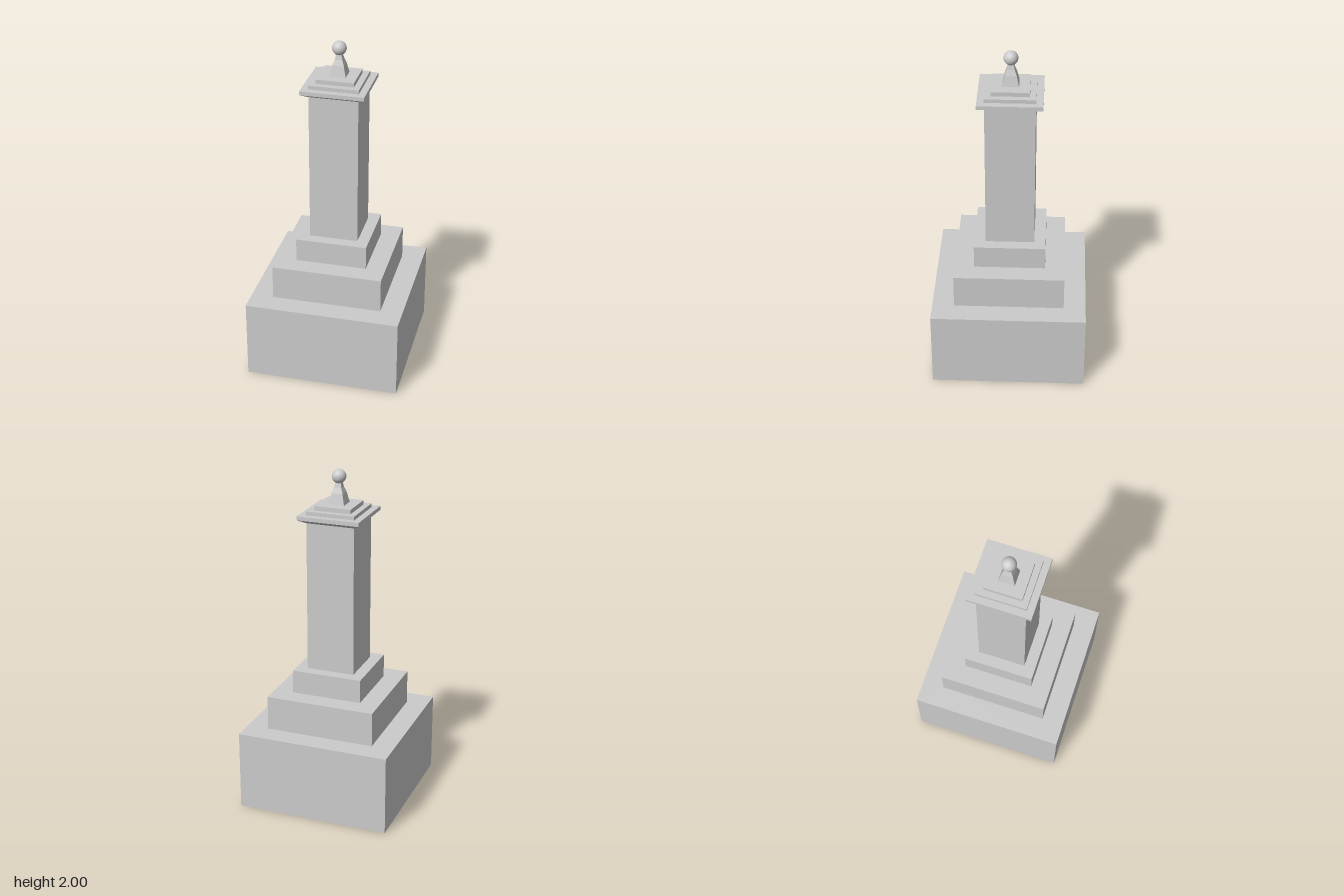
import * as THREE from 'three';

const flat = new THREE.MeshStandardMaterial({ color: 0xcccccc, flatShading: true, side: THREE.DoubleSide });
const smooth = new THREE.MeshStandardMaterial({ color: 0xcccccc });

// Square-section shell from [halfWidth, y] points, bottom to top
function squareShell(name, profile) {
  const points = profile.map(([half, y]) => new THREE.Vector2(half * Math.SQRT2, y));
  const mesh = new THREE.Mesh(new THREE.LatheGeometry(points, 4, Math.PI / 4), flat);
  mesh.name = name;
  return mesh;
}

export function createModel() {
  const model = new THREE.Group();
  model.name = 'monument';

  // Hollow stepped base, open underneath
  model.add(squareShell('steppedBase', [
    [0.455, 0], [0.455, 0.475], [0.325, 0.475], [0.325, 0.68],
    [0.21, 0.68], [0.21, 0.82], [0.143, 0.82],
  ]));

  // Square shaft
  model.add(squareShell('shaft', [[0.143, 0.82], [0.143, 1.708]]));

  // Cap with a sloped underside and two steps
  model.add(squareShell('cap', [
    [0.143, 1.708], [0.185, 1.732], [0.185, 1.755], [0.145, 1.755],
    [0.145, 1.777], [0.109, 1.777], [0.109, 1.802], [0.047, 1.802],
  ]));

  // Tapering finial
  model.add(squareShell('finial', [
    [0.047, 1.802], [0.033, 1.865], [0.022, 1.895], [0.014, 1.93],
  ]));

  // Ball on top
  const ball = new THREE.Mesh(new THREE.SphereGeometry(0.041, 32, 20), smooth);
  ball.name = 'ball';
  ball.position.y = 1.959;
  model.add(ball);

  return model;
}
